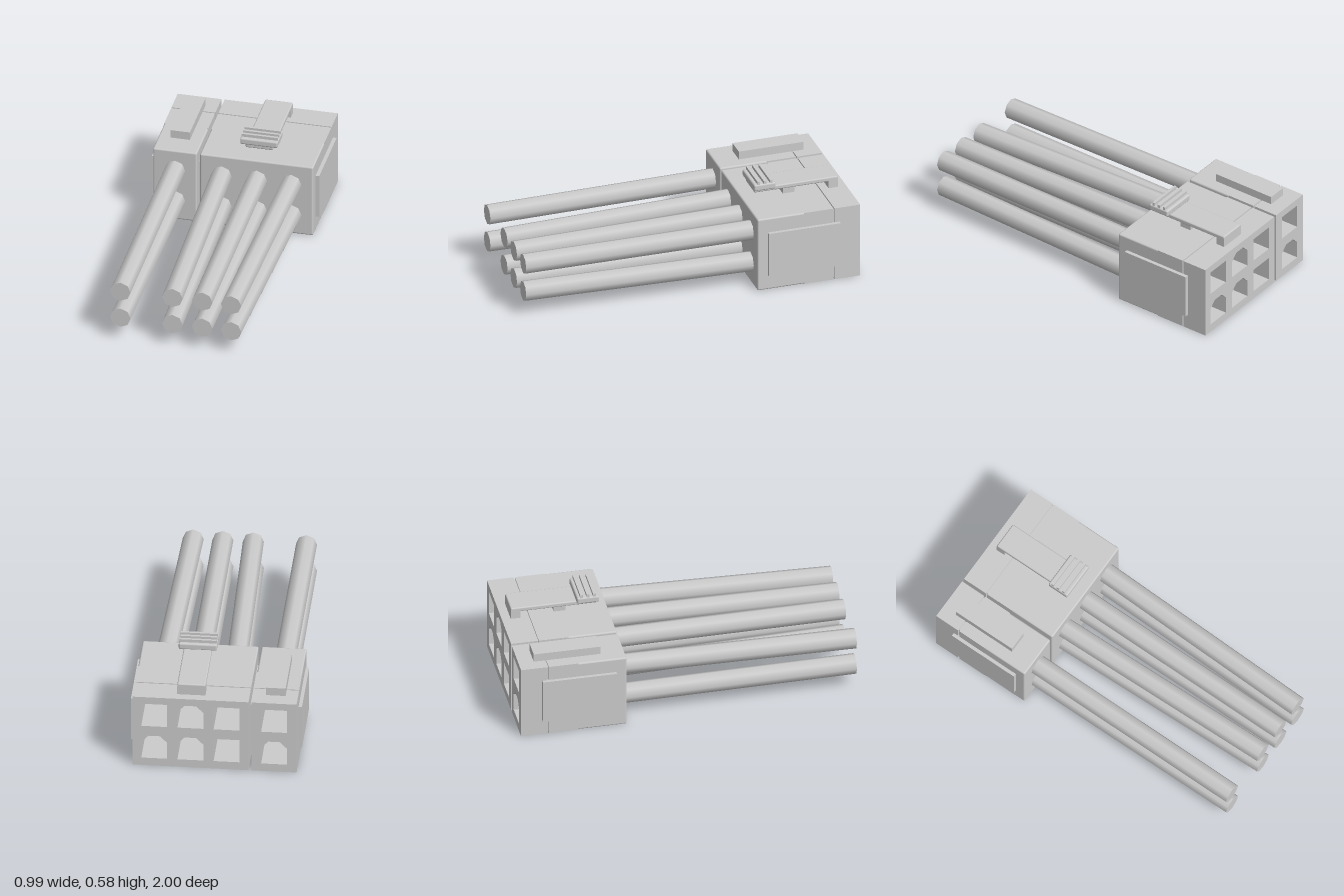
import * as THREE from 'three';
import { RoundedBoxGeometry } from 'three/addons/geometries/RoundedBoxGeometry.js';

const material = new THREE.MeshStandardMaterial({ color: 0xcccccc });
const ROWS = [0.125, 0.34];
const HEIGHT = 0.46;

function add(parent, name, geometry) {
  const mesh = new THREE.Mesh(geometry, material);
  mesh.name = name;
  parent.add(mesh);
  return mesh;
}

// Box given by its limits on each axis; a radius rounds its edges
function box(parent, name, [x0, x1], [y0, y1], [z0, z1], radius = 0) {
  const size = [x1 - x0, y1 - y0, z1 - z0];
  const geometry = radius
    ? new RoundedBoxGeometry(...size, 2, radius)
    : new THREE.BoxGeometry(...size);
  geometry.translate((x0 + x1) / 2, (y0 + y1) / 2, (z0 + z1) / 2);
  return add(parent, name, geometry);
}

// Square socket outline, optionally with its two top corners cut off
function socketPath(x, y, chamfered) {
  const h = 0.075, c = chamfered ? 0.042 : 0;
  const points = [[-h, -h], [-h, h - c], [-h + c, h], [h - c, h], [h, h - c], [h, -h]];
  return new THREE.Path(points.map(([px, py]) => new THREE.Vector2(x + px, y + py)));
}

// Slab of the housing pierced by all of its sockets
function piercedSlab(parent, name, [x0, x1], sockets, [z0, z1], inset) {
  const a = x0 + inset, b = x1 - inset, top = HEIGHT - inset;
  const shape = new THREE.Shape([
    new THREE.Vector2(a, inset), new THREE.Vector2(b, inset),
    new THREE.Vector2(b, top), new THREE.Vector2(a, top),
  ]);
  for (const s of sockets) shape.holes.push(socketPath(...s));
  const geometry = new THREE.ExtrudeGeometry(shape, { depth: z1 - z0, bevelEnabled: false });
  geometry.translate(0, 0, z0);
  return add(parent, name, geometry);
}

function housing(name, xRange, sockets) {
  const group = new THREE.Group();
  group.name = name;
  box(group, 'wireEndBlock', xRange, [0, HEIGHT], [-0.7, -0.375], 0.01);
  piercedSlab(group, 'middleShell', xRange, sockets, [-0.836, -0.66], 0);
  piercedSlab(group, 'seamCore', xRange, sockets, [-0.86, -0.82], 0.009);
  piercedSlab(group, 'socketFace', xRange, sockets, [-1, -0.844], 0);
  return group;
}

// Straight eight-sided wire between two points
function wire(parent, from, to) {
  const direction = to.clone().sub(from);
  const geometry = new THREE.CylinderGeometry(0.061, 0.061, direction.length(), 8);
  const mesh = add(parent, 'wire', geometry);
  // turn the axis to +z first so the octagon keeps a corner at the top
  geometry.rotateX(Math.PI / 2);
  mesh.position.copy(from).add(to).multiplyScalar(0.5);
  mesh.quaternion.setFromUnitVectors(new THREE.Vector3(0, 0, 1), direction.normalize());
}

export function createModel() {
  const model = new THREE.Group();
  model.name = 'cableConnector';
  const [low, high] = ROWS;

  // Two housings side by side
  model.add(housing('smallHousing', [-0.477, -0.216], [
    [-0.346, high, false], [-0.346, low, true],
  ]));
  model.add(housing('largeHousing', [-0.198, 0.475], [
    [-0.07, high, false], [0.14, high, true], [0.35, high, false],
    [-0.07, low, false], [0.14, low, true], [0.35, low, true],
  ]));

  // Raised panels on the outer sides and between the housings
  for (const [name, x] of [
    ['rightSidePanel', [-0.497, -0.46]],
    ['leftSidePanel', [0.46, 0.497]],
    ['joiningPanel', [-0.23, -0.185]],
  ]) box(model, name, x, [0.095, 0.37], [-0.875, -0.437]);

  // Raised pad on the small housing
  box(model, 'topPad', [-0.405, -0.29], [0.45, 0.51], [-0.91, -0.515]);

  // Latch: arm on two feet, with a ribbed thumb grip
  const latch = new THREE.Group();
  latch.name = 'latch';
  model.add(latch);
  box(latch, 'latchArm', [0.057, 0.221], [0.502, 0.53], [-0.948, -0.44], 0.008);
  box(latch, 'latchHook', [0.057, 0.221], [0.45, 0.52], [-0.948, -0.892]);
  box(latch, 'latchPivot', [0.08, 0.2], [0.45, 0.51], [-0.69, -0.62]);
  box(latch, 'thumbGrip', [0.027, 0.25], [0.525, 0.566], [-0.562, -0.43], 0.01);
  for (const z of [-0.535, -0.497, -0.459]) {
    box(latch, 'gripRib', [0.031, 0.246], [0.555, 0.584], [z - 0.008, z + 0.008]);
  }

  // Wires, the outer ones leaning inwards
  const wires = new THREE.Group();
  wires.name = 'wires';
  model.add(wires);
  for (const [x0, x1] of [[-0.346, -0.346], [-0.07, -0.037], [0.14, 0.14], [0.345, 0.312]]) {
    for (const [y0, y1] of [[0.13, 0.144], [0.334, 0.32]]) {
      wire(wires, new THREE.Vector3(x0, y0, -0.4), new THREE.Vector3(x1, y1, 1));
    }
  }
  return model;
}
